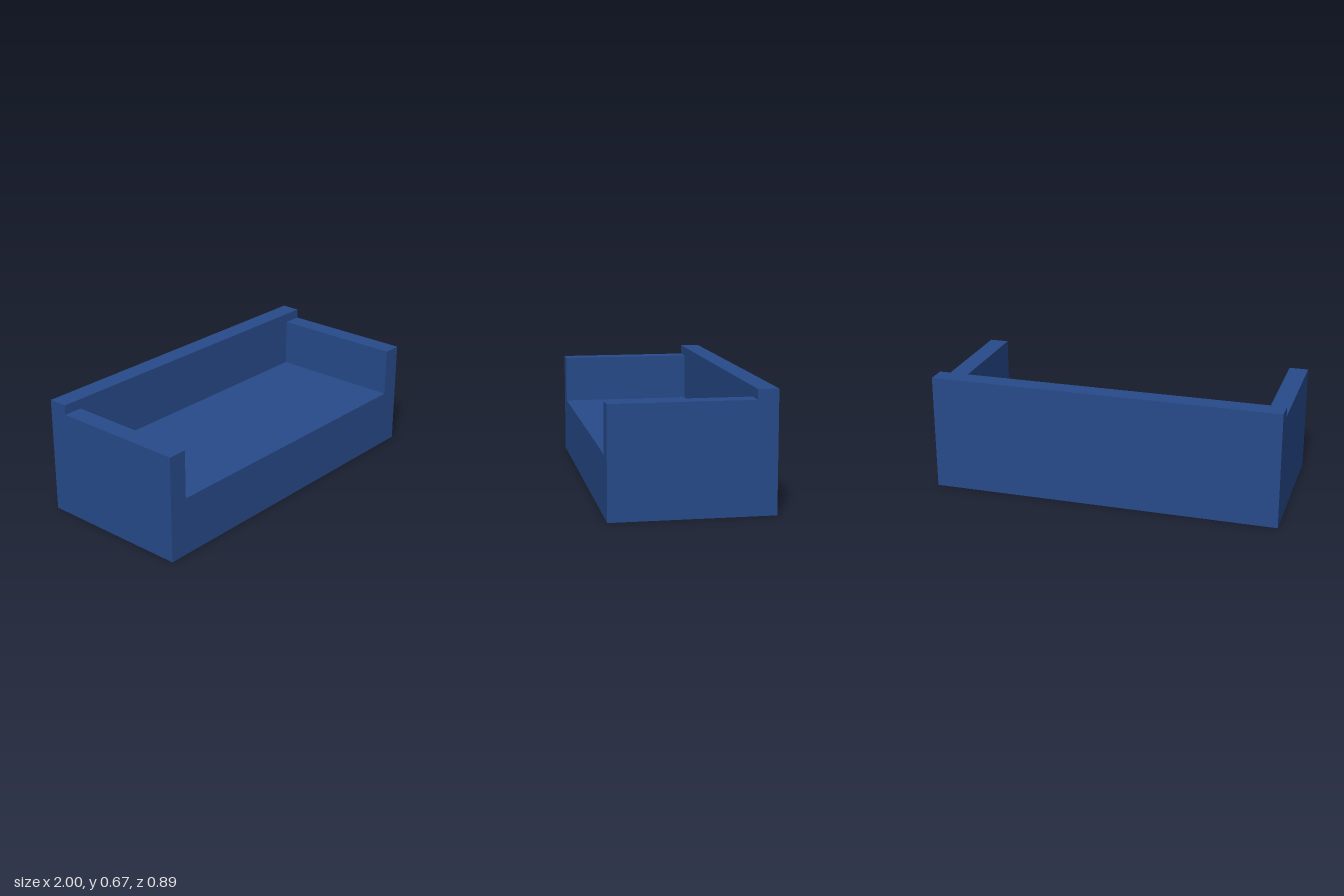
import * as THREE from 'three';

export function createModel() {
  const model = new THREE.Group();
  model.name = 'sofa';
  const fabric = new THREE.MeshStandardMaterial({ color: 0x274a8a });

  // Overall extents
  const halfW = 1, halfD = 0.445;
  const bottom = 0.115, seatTop = 0.448, armTop = 0.725, backTop = 0.78;
  const armInner = 0.89, backFront = -0.333;

  // Box given by its limits on each axis
  function block(name, [x0, x1], [y0, y1], [z0, z1]) {
    const mesh = new THREE.Mesh(new THREE.BoxGeometry(x1 - x0, y1 - y0, z1 - z0), fabric);
    mesh.position.set((x0 + x1) / 2, (y0 + y1) / 2, (z0 + z1) / 2);
    mesh.name = name;
    model.add(mesh);
  }

  // Seat between the arms, in front of the backrest
  block('seat', [-armInner, armInner], [bottom, seatTop], [backFront, halfD]);

  // Full-width backrest
  block('backrest', [-halfW, halfW], [bottom, backTop], [-halfD, backFront]);

  // Armrests
  block('leftArmrest', [armInner, halfW], [bottom, armTop], [backFront, halfD]);
  block('rightArmrest', [-halfW, -armInner], [bottom, armTop], [backFront, halfD]);

  return model;
}
